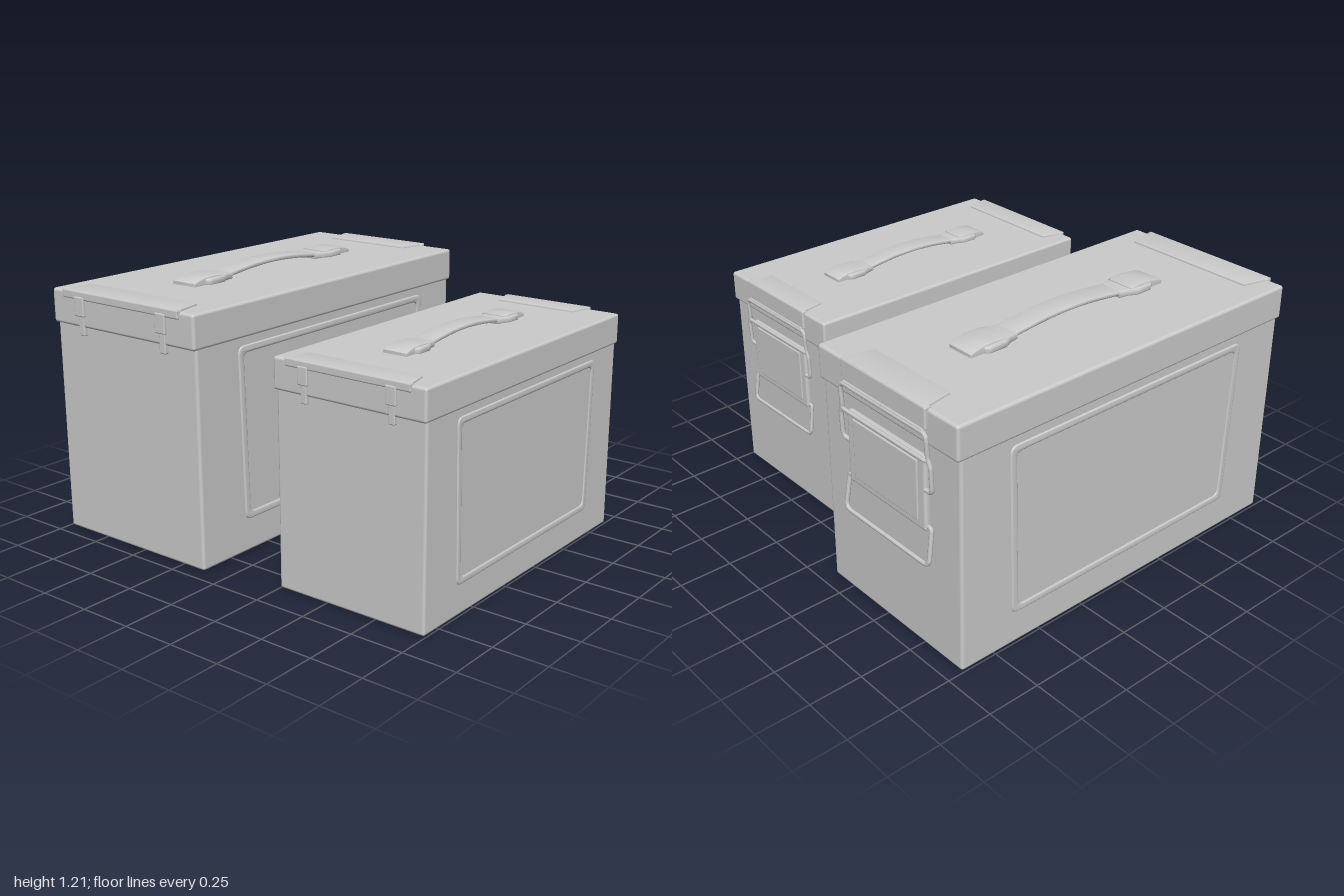
import * as THREE from 'three';
import { toCreasedNormals } from 'three/addons/utils/BufferGeometryUtils.js';
import { RoundedBoxGeometry } from 'three/addons/geometries/RoundedBoxGeometry.js';

const material = new THREE.MeshStandardMaterial({ color: 0xcccccc });

function add(parent, name, geometry) {
  const mesh = new THREE.Mesh(geometry, material);
  mesh.name = name;
  parent.add(mesh);
  return mesh;
}

// Rounded box given by its limits on each axis
function block(parent, name, [x0, x1], [y0, y1], [z0, z1], radius) {
  const g = new RoundedBoxGeometry(x1 - x0, y1 - y0, z1 - z0, 3, radius);
  g.translate((x0 + x1) / 2, (y0 + y1) / 2, (z0 + z1) / 2);
  return add(parent, name, g);
}

function outline(points) {
  return points.map(([x, y]) => new THREE.Vector2(x, y));
}

// Bevelled extrusion running from 0 to depth; the outline keeps its size
function slab(shape, depth, bevel) {
  const g = new THREE.ExtrudeGeometry(shape, {
    depth: depth - 2 * bevel, bevelThickness: bevel, bevelSize: bevel,
    bevelOffset: -bevel, bevelSegments: 3, curveSegments: 6,
  });
  g.translate(0, 0, bevel);
  return toCreasedNormals(g, 0.7);
}

// Flat plate lying on the lid, symmetric about z = 0; half is a list of [x, half width]
function lidPlate(parent, name, half, y, depth, bevel) {
  const pts = [...half, ...half.map(([x, z]) => [x, -z]).reverse()];
  const g = slab(new THREE.Shape(outline(pts)), depth, bevel);
  g.rotateX(-Math.PI / 2);
  g.translate(0, y, 0);
  return add(parent, name, g);
}

// Bent wire, mirrored about z = 0; half is listed from the centre to the end
function wire(parent, name, half, radius) {
  const left = half.map(([x, y, z]) => new THREE.Vector3(x, y, z));
  const right = left.map((p) => new THREE.Vector3(p.x, p.y, -p.z)).reverse();
  const curve = new THREE.CatmullRomCurve3([...right, ...left], false, 'catmullrom', 0.15);
  return add(parent, name, new THREE.TubeGeometry(curve, 120, radius, 8));
}

// Rounded quadrilateral with sides leaning out towards the top
function panelPath(path, top, bottom, y0, y1, r) {
  path.moveTo(-bottom + r, y0);
  path.lineTo(bottom - r, y0);
  path.quadraticCurveTo(bottom, y0, bottom, y0 + r);
  path.lineTo(top, y1 - r);
  path.quadraticCurveTo(top, y1, top - r, y1);
  path.lineTo(-top + r, y1);
  path.quadraticCurveTo(-top, y1, -top, y1 - r);
  path.lineTo(-bottom, y0 + r);
  path.quadraticCurveTo(-bottom, y0, -bottom + r, y0);
  return path;
}

function buildHandle(can) {
  const handle = new THREE.Group();
  handle.name = 'handle';
  can.add(handle);

  // Arched strap
  const top = [], under = [];
  for (let i = 0; i <= 24; i++) {
    const x = -0.36 + (0.72 * i) / 24;
    const y = 1.178 + 0.031 * Math.cos((x / 0.36) * Math.PI / 2);
    top.push([x, y]);
    under.push([x, y - 0.02]);
  }
  const strap = slab(new THREE.Shape(outline([...under, ...top.reverse()])), 0.112, 0.006);
  strap.translate(0, 0, -0.056);
  add(handle, 'handleStrap', strap);

  for (const side of [-1, 1]) {
    const end = new THREE.Group();
    end.name = side < 0 ? 'handleRightMount' : 'handleLeftMount';
    end.rotation.y = side < 0 ? Math.PI : 0;
    handle.add(end);
    // Flared bracket, with the strap clamp over it
    lidPlate(end, 'handleBracket',
      [[0.3, 0.058], [0.345, 0.066], [0.385, 0.086], [0.47, 0.086], [0.49, 0.07]],
      1.15, 0.035, 0.01);
    const clamp = new THREE.Shape(outline([
      [0.36, 1.15], [0.56, 1.15], [0.56, 1.172], [0.53, 1.184], [0.48, 1.191],
      [0.42, 1.193], [0.36, 1.188],
    ]));
    const g = slab(clamp, 0.136, 0.004);
    g.translate(0, 0, -0.068);
    add(end, 'handleClamp', g);
  }
}

function buildHinge(can) {
  const hinge = new THREE.Group();
  hinge.name = 'hinge';
  can.add(hinge);
  lidPlate(hinge, 'hingePlate', [[-0.958, 0.363], [-0.81, 0.33]], 1.145, 0.022, 0.006);
  block(hinge, 'hingeFold', [-0.96, -0.93], [1.125, 1.166], [-0.363, 0.363], 0.008);
  for (const z of [-0.255, 0.255]) {
    block(hinge, 'hingeBracket', [-0.964, -0.93], [1.05, 1.14], [z - 0.03, z + 0.03], 0.006);
    block(hinge, 'hingeHook', [-0.952, -0.92], [0.96, 1.07], [z - 0.018, z + 0.018], 0.006);
  }
}

function buildLatch(can) {
  const latch = new THREE.Group();
  latch.name = 'latch';
  can.add(latch);
  // Keeper folded over the lid edge
  lidPlate(latch, 'keeperPlate', [[0.805, 0.235], [0.956, 0.264]], 1.145, 0.022, 0.006);
  block(latch, 'keeperFold', [0.925, 0.957], [1.065, 1.166], [-0.268, 0.268], 0.008);
  block(latch, 'keeperLip', [0.93, 0.962], [1.045, 1.075], [-0.262, 0.262], 0.012);
  // Lever with a raised centre
  block(latch, 'lever', [0.915, 0.95], [0.595, 0.935], [-0.252, 0.252], 0.014);
  block(latch, 'leverPanel', [0.92, 0.955], [0.63, 0.91], [-0.208, 0.208], 0.006);
  // Upper and lower wire bails
  wire(latch, 'upperBail', [
    [0.957, 1.055, 0], [0.957, 1.055, 0.25], [0.957, 1.045, 0.27], [0.957, 1.02, 0.274],
    [0.952, 0.95, 0.274], [0.95, 0.91, 0.288], [0.945, 0.81, 0.288],
    [0.943, 0.795, 0.282], [0.942, 0.79, 0.268], [0.942, 0.79, 0.24],
  ], 0.01);
  wire(latch, 'leverBar', [[0.957, 0.935, 0], [0.957, 0.935, 0.25], [0.95, 0.935, 0.28]], 0.009);
  wire(latch, 'lowerBail', [
    [0.957, 0.45, 0], [0.957, 0.45, 0.24], [0.956, 0.455, 0.265], [0.954, 0.475, 0.275],
    [0.936, 0.605, 0.27], [0.935, 0.617, 0.262], [0.935, 0.617, 0.235],
  ], 0.01);
}

function buildCan(name) {
  const can = new THREE.Group();
  can.name = name;
  block(can, 'body', [-0.932, 0.925], [0, 1.1], [-0.437, 0.437], 0.014);
  block(can, 'lid', [-0.95, 0.944], [0.998, 1.157], [-0.443, 0.443], 0.014);

  // Pressed ridge on both long sides
  const ridge = panelPath(new THREE.Shape(), 0.68, 0.66, 0.155, 0.965, 0.04);
  ridge.holes.push(panelPath(new THREE.Path(), 0.645, 0.625, 0.19, 0.93, 0.03));
  for (const side of [-1, 1]) {
    const g = slab(ridge, 0.016, 0.007);
    g.translate(0, 0, 0.427);
    if (side < 0) g.rotateY(Math.PI);
    add(can, side < 0 ? 'backRidge' : 'frontRidge', g);
  }

  buildHandle(can);
  buildHinge(can);
  buildLatch(can);
  return can;
}

export function createModel() {
  const model = new THREE.Group();
  model.name = 'storageCans';

  const large = buildCan('largeCan');
  large.position.set(0, 0, -0.557);

  const small = buildCan('smallCan');
  small.scale.set(0.81, 0.885, 0.855);
  small.position.set(-0.0925, 0, 0.621);

  model.add(large, small);
  return model;
}
